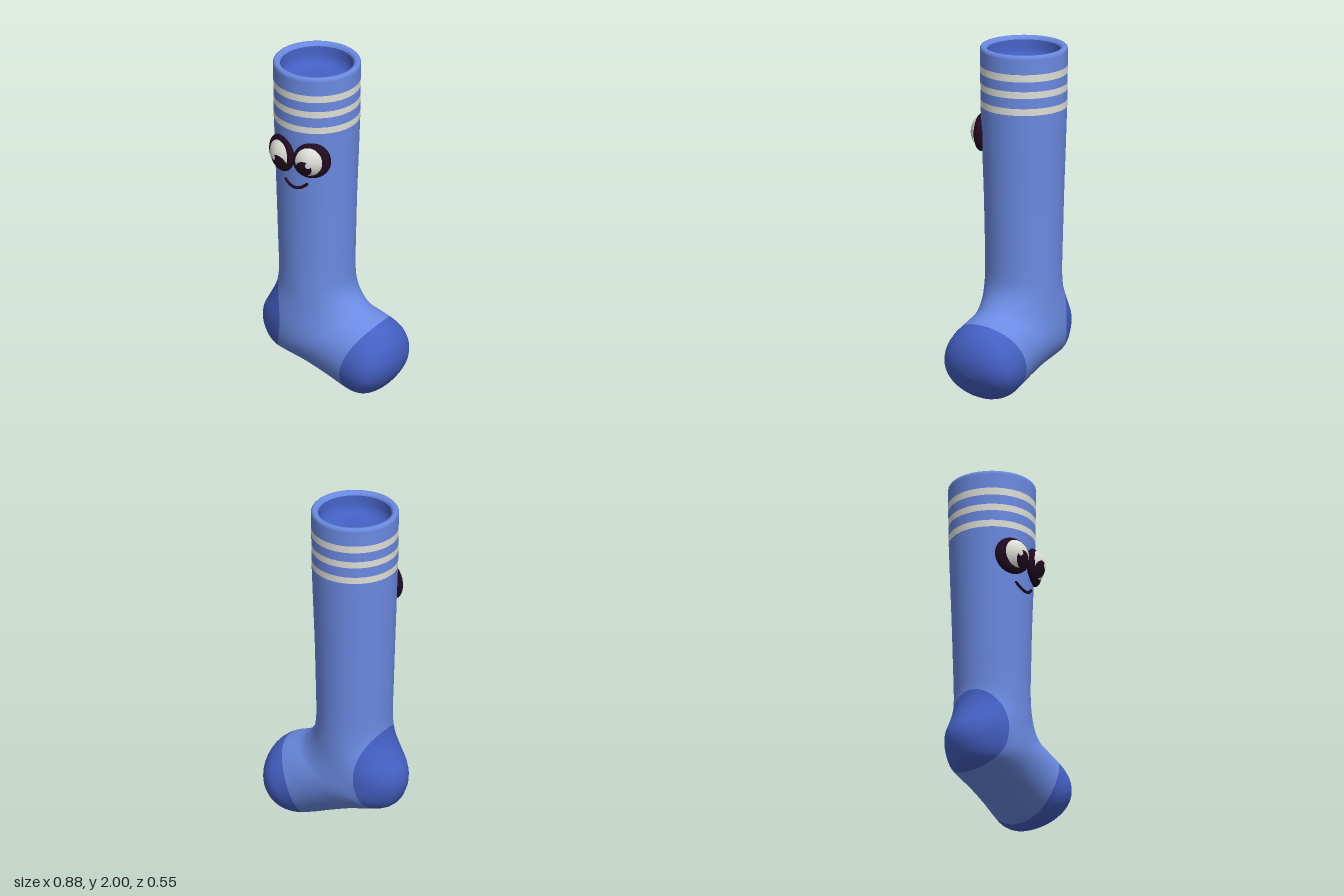
import * as THREE from 'three';

const mat = (name, color, side = THREE.FrontSide) => {
  const m = new THREE.MeshStandardMaterial({ color, side });
  m.name = name;
  return m;
};
const CX = -0.11, CZ = -0.02; // axis of the leg
const SIDES = 40, RINGS = 90;

// Each section: back/sole point, front/instep point, half width in z
const SECTIONS = [
  [-0.355, 1.65, 0.136, 1.65, 0.246],
  [-0.347, 1.4, 0.127, 1.4, 0.237],
  [-0.339, 1.15, 0.118, 1.15, 0.228],
  [-0.331, 0.9, 0.112, 0.9, 0.222],
  [-0.326, 0.76, 0.109, 0.75, 0.219],
  [-0.326, 0.66, 0.112, 0.65, 0.219],
  [-0.345, 0.57, 0.126, 0.595, 0.22],
  [-0.39, 0.48, 0.15, 0.555, 0.222],
  [-0.432, 0.4, 0.178, 0.525, 0.224],
  [-0.44, 0.32, 0.198, 0.508, 0.226],
  [-0.41, 0.235, 0.215, 0.498, 0.228],
  [-0.36, 0.182, 0.228, 0.492, 0.229],
  [-0.28, 0.155, 0.242, 0.486, 0.23],
  [-0.15, 0.122, 0.262, 0.478, 0.231],
  [0.0, 0.07, 0.3, 0.463, 0.234],
  [0.12, 0.025, 0.343, 0.44, 0.241],
  [0.2, 0.004, 0.387, 0.4, 0.241],
  [0.27, 0.01, 0.423, 0.34, 0.215],
  [0.34, 0.05, 0.438, 0.275, 0.16],
  [0.392, 0.108, 0.437, 0.222, 0.088],
  [0.426, 0.165, 0.426, 0.165, 0],
];

// Smooth skin through the sections, from the leg round the heel to the toe
function sockSkin() {
  const back = new THREE.CatmullRomCurve3(SECTIONS.map(s => new THREE.Vector3(s[0], s[1], s[4])), false, 'catmullrom');
  const front = new THREE.CatmullRomCurve3(SECTIONS.map(s => new THREE.Vector3(s[2], s[3], 0)), false, 'catmullrom');
  const pos = [], index = [];
  for (let i = 0; i <= RINGS; i++) {
    const a = back.getPoint(i / RINGS), b = front.getPoint(i / RINGS);
    for (let j = 0; j < SIDES; j++) {
      const t = j / SIDES * Math.PI * 2, k = (1 + Math.cos(t)) / 2;
      pos.push(a.x + (b.x - a.x) * k, a.y + (b.y - a.y) * k, CZ + a.z * Math.sin(t));
      if (i === RINGS) continue;
      const p = i * SIDES + j, q = i * SIDES + (j + 1) % SIDES;
      index.push(p, q, p + SIDES, q, q + SIDES, p + SIDES);
    }
  }
  const g = new THREE.BufferGeometry();
  g.setAttribute('position', new THREE.Float32BufferAttribute(pos, 3));
  g.setIndex(index);
  g.computeVertexNormals();
  return g.toNonIndexed();
}

// Keep the part of a surface where field(x, y) < 0
function clip(geo, field) {
  const P = geo.attributes.position.array, N = geo.attributes.normal.array;
  const pos = [], nor = [];
  for (let t = 0; t < P.length; t += 9) {
    const tri = [0, 3, 6].map(o => [...P.slice(t + o, t + o + 3), ...N.slice(t + o, t + o + 3)]);
    const poly = [];
    tri.forEach((a, i) => {
      const b = tri[(i + 1) % 3], fa = field(a[0], a[1]), fb = field(b[0], b[1]);
      if (fa < 0) poly.push(a);
      if ((fa < 0) !== (fb < 0)) poly.push(a.map((v, k) => v + (b[k] - v) * fa / (fa - fb)));
    });
    for (let i = 2; i < poly.length; i++) {
      for (const v of [poly[0], poly[i - 1], poly[i]]) {
        pos.push(v[0], v[1], v[2]);
        nor.push(v[3], v[4], v[5]);
      }
    }
  }
  const g = new THREE.BufferGeometry();
  g.setAttribute('position', new THREE.Float32BufferAttribute(pos, 3));
  g.setAttribute('normal', new THREE.Float32BufferAttribute(nor, 3));
  return g;
}

export function createModel() {
  const group = new THREE.Group();
  const blue = mat('sock blue', 0x6b8ae2);
  const deep = mat('deep blue', 0x4560c4);
  const white = mat('off white', 0xe0e0da);
  const dark = mat('dark plum', 0x210a20);
  const add = (name, geo, material, parent = group) => {
    const m = new THREE.Mesh(geo, material);
    m.name = name;
    parent.add(m);
    return m;
  };
  const lathe = (name, pts, material) =>
    add(name, new THREE.LatheGeometry(pts.map(p => new THREE.Vector2(...p)), SIDES), material).position.set(CX, 0, CZ);

  // Leg and foot with darker heel and toe
  const skin = sockSkin();
  const heel = (x, y) => Math.hypot(x + 0.63, y - 0.4) - 0.4;
  const toe = (x, y) => Math.hypot(x - 0.728, y - 0.06) - 0.565;
  add('legAndFoot', clip(clip(skin, (x, y) => -heel(x, y)), (x, y) => -toe(x, y)), blue);
  add('heel', clip(skin, heel), deep);
  add('toe', clip(skin, toe), deep);

  // Striped cuff
  const radius = y => 0.246 + (y - 1.65) * 0.012;
  const levels = [1.65, 1.69, 1.75, 1.79, 1.847, 1.89, 1.98];
  for (let i = 0; i < 6; i++) {
    const [a, b] = [levels[i], levels[i + 1]];
    lathe(i % 2 ? 'cuffBand' : 'cuffStripe', [[radius(a), a], [radius(b), b]], i % 2 ? blue : white);
  }

  // Rounded rim and hollow opening
  lathe('rim', [[0.25, 1.98], [0.249, 1.99], [0.243, 1.998], [0.235, 2], [0.222, 1.998], [0.213, 1.991], [0.209, 1.98]], blue);
  lathe('opening', [[0.209, 1.98], [0.207, 1.93], [0.2, 1.9], [0.18, 1.878], [0.14, 1.866], [0.07, 1.861], [0, 1.86]], deep);

  // Eyes: flattened balls turned outwards, with domed plates laid on them
  const R = 0.11, D = 0.045;
  for (const s of [-1, 1]) {
    const eye = new THREE.Group();
    eye.name = s > 0 ? 'leftEye' : 'rightEye';
    eye.position.set(CX + s * 0.1, 1.48, 0.2);
    eye.rotation.y = s * 0.435;
    group.add(eye);
    add('eyeRim', new THREE.SphereGeometry(1, 32, 20), dark, eye).scale.set(R, R, D);
    const plate = (name, x, y, rx, ry, lift, material) => {
      const g = new THREE.RingGeometry(0, 1, 36, 8);
      g.scale(rx, ry, 1).translate(-s * x, y, 0);
      const p = g.attributes.position;
      for (let i = 0; i < p.count; i++) {
        const px = p.getX(i), py = p.getY(i);
        const ball = D * Math.sqrt(Math.max(0, 1 - (px * px + py * py) / (R * R)));
        const dome = 1 - ((px + s * 0.015) / 0.078) ** 2 - ((py - 0.004) / 0.086) ** 2;
        p.setZ(i, ball + 0.02 * Math.max(0, dome) + lift);
      }
      g.computeVertexNormals();
      add(name, g, material, eye);
    };
    plate('eyeWhite', 0.015, 0.004, 0.078, 0.086, 0.002, white);
    plate('pupil', 0.042, -0.033, 0.046, 0.05, 0.004, dark);
    plate('highlight', 0.016, -0.004, 0.017, 0.018, 0.006, white);
  }

  // Smile following the leg surface
  const smile = [];
  for (let i = -5; i <= 5; i++) {
    const x = i / 5 * 0.07;
    smile.push(new THREE.Vector3(CX + x, 1.29 + 0.034 * (i / 5) ** 2, CZ + Math.sqrt(0.234 ** 2 - x * x)));
  }
  add('smile', new THREE.TubeGeometry(new THREE.CatmullRomCurve3(smile), 30, 0.009, 8), dark);
  for (const p of [smile[0], smile[10]])
    add('smileEnd', new THREE.SphereGeometry(0.009, 10, 8), dark).position.copy(p);

  return group;
}
